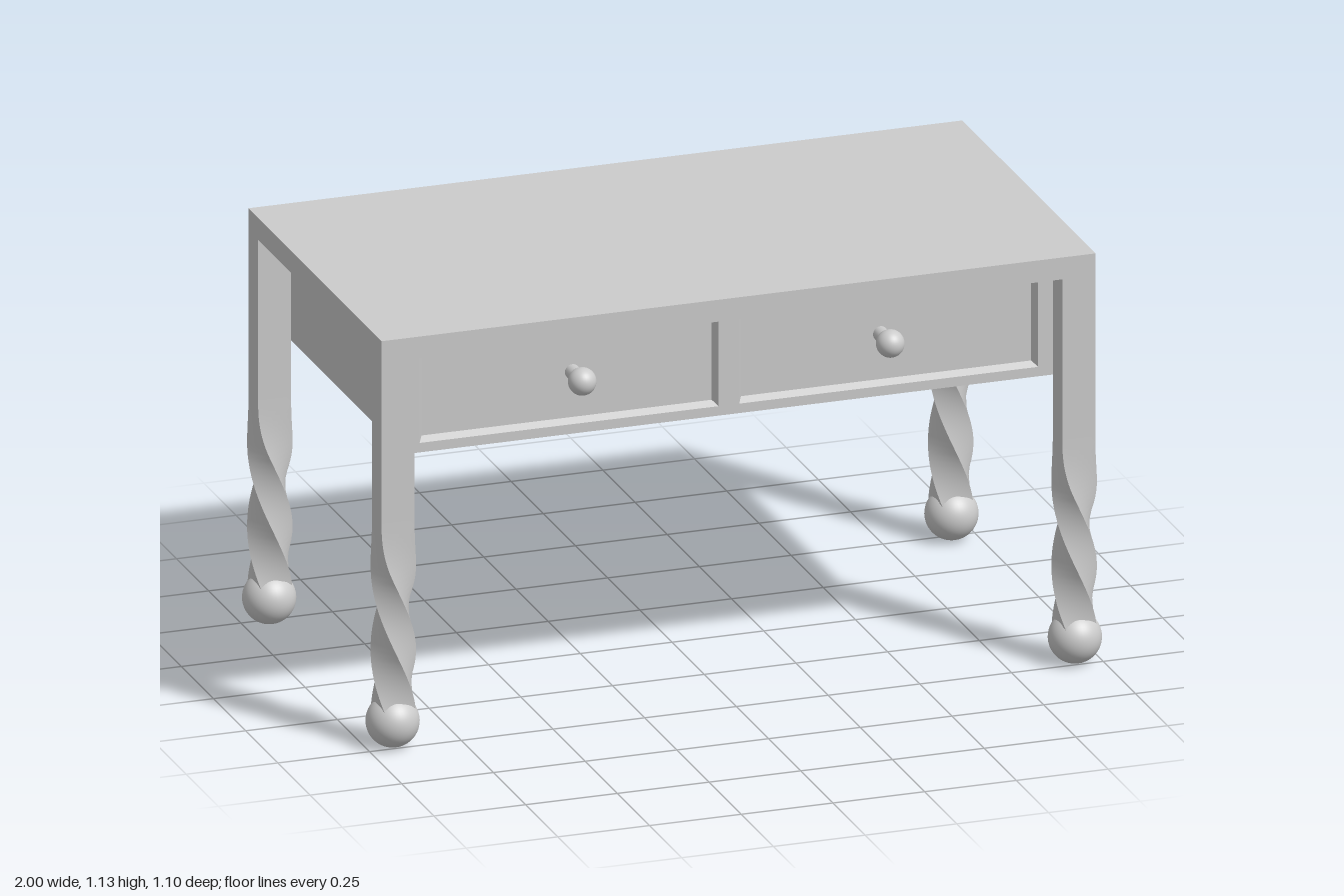
import * as THREE from 'three';

const material = new THREE.MeshStandardMaterial({ color: 0xcccccc });
const thinMaterial = new THREE.MeshStandardMaterial({ color: 0xcccccc, side: THREE.DoubleSide });

function add(parent, name, geometry, x = 0, y = 0, z = 0, mat = material) {
  const mesh = new THREE.Mesh(geometry, mat);
  mesh.name = name;
  mesh.position.set(x, y, z);
  parent.add(mesh);
  return mesh;
}

// Corners of a rectangle, counter-clockwise
const corners = (w, h) => [[-w / 2, -h / 2], [w / 2, -h / 2], [w / 2, h / 2], [-w / 2, h / 2]];

// Square post that eases into a half-turn twist towards the foot
function twistedLeg() {
  const top = 1.07, bottom = 0.1, start = 0.613, ramp = 0.14, rate = 7.6;
  const geometry = new THREE.BoxGeometry(0.09, top - bottom, 0.075, 1, 64, 1);
  geometry.translate(0, (top + bottom) / 2, 0);
  const p = geometry.attributes.position;
  for (let i = 0; i < p.count; i++) {
    const d = Math.max(0, start - p.getY(i));
    const angle = d < ramp ? rate * d * d / (2 * ramp) : rate * (d - ramp / 2);
    const c = Math.cos(angle), s = Math.sin(angle);
    const x = p.getX(i), z = p.getZ(i);
    p.setXYZ(i, x * c + z * s, p.getY(i), -x * s + z * c);
  }
  geometry.computeVertexNormals();
  return geometry;
}

// Sloping border between the apron face and the sunken drawer panel
function slopedBorder(w, h, inset, depth) {
  const outer = corners(w, h), inner = corners(w - 2 * inset, h - 2 * inset);
  const positions = [];
  for (let i = 0; i < 4; i++) {
    const j = (i + 1) % 4;
    const a = [...outer[i], 0], b = [...outer[j], 0];
    const c = [...inner[j], -depth], d = [...inner[i], -depth];
    positions.push(...a, ...b, ...c, ...a, ...c, ...d);
  }
  const geometry = new THREE.BufferGeometry();
  geometry.setAttribute('position', new THREE.Float32BufferAttribute(positions, 3));
  geometry.computeVertexNormals();
  return geometry;
}

export function createModel() {
  const table = new THREE.Group();
  table.name = 'writingTable';

  add(table, 'tableTop', new THREE.BoxGeometry(1.946, 0.06, 1.034), 0, 1.1, 0);

  // Drawer case, with a front frame holding two drawer openings
  const front = 0.442, depth = 0.02;
  const low = 0.782, high = 1.07, midY = (low + high) / 2;
  const drawerW = 0.815, drawerH = 0.238, drawerX = 0.4355, drawerY = 0.927;
  const caseDepth = 2 * front - depth;
  add(table, 'drawerCase', new THREE.BoxGeometry(1.766, high - low, caseDepth), 0, midY, -depth / 2);

  const frame = new THREE.Shape(corners(1.766, high - low).map(([x, y]) => new THREE.Vector2(x, y + midY)));
  for (const side of [-1, 1]) {
    const hole = corners(drawerW, drawerH).reverse()
      .map(([x, y]) => new THREE.Vector2(x + side * drawerX, y + drawerY));
    frame.holes.push(new THREE.Path(hole));
  }
  const frameGeometry = new THREE.ExtrudeGeometry(frame, { depth, bevelEnabled: false });
  add(table, 'frontFrame', frameGeometry, 0, 0, front - depth);

  // Drawers: sloped border and a round knob on a short stem
  for (const side of [-1, 1]) {
    const drawer = new THREE.Group();
    drawer.name = side > 0 ? 'leftDrawer' : 'rightDrawer';
    table.add(drawer);
    add(drawer, 'drawerBorder', slopedBorder(drawerW, drawerH, 0.012, depth),
      side * drawerX, drawerY, front, thinMaterial);
    const stem = new THREE.CylinderGeometry(0.02, 0.02, 0.07, 24).rotateX(Math.PI / 2);
    add(drawer, 'knobStem', stem, side * 0.42, 0.945, 0.455);
    add(drawer, 'knob', new THREE.SphereGeometry(0.037, 32, 20), side * 0.42, 0.945, 0.499);
  }

  // Twisted legs on ball feet
  const legGeometry = twistedLeg();
  const footGeometry = new THREE.SphereGeometry(0.07, 40, 28);
  for (const x of [-1, 1]) {
    for (const z of [-1, 1]) {
      const leg = new THREE.Group();
      leg.name = (z > 0 ? 'front' : 'back') + (x > 0 ? 'Left' : 'Right') + 'Leg';
      leg.position.set(x * 0.928, 0, z * 0.4795);
      add(leg, 'twistedPost', legGeometry);
      add(leg, 'ballFoot', footGeometry, x * 0.002, 0.07, 0);
      table.add(leg);
    }
  }
  return table;
}
